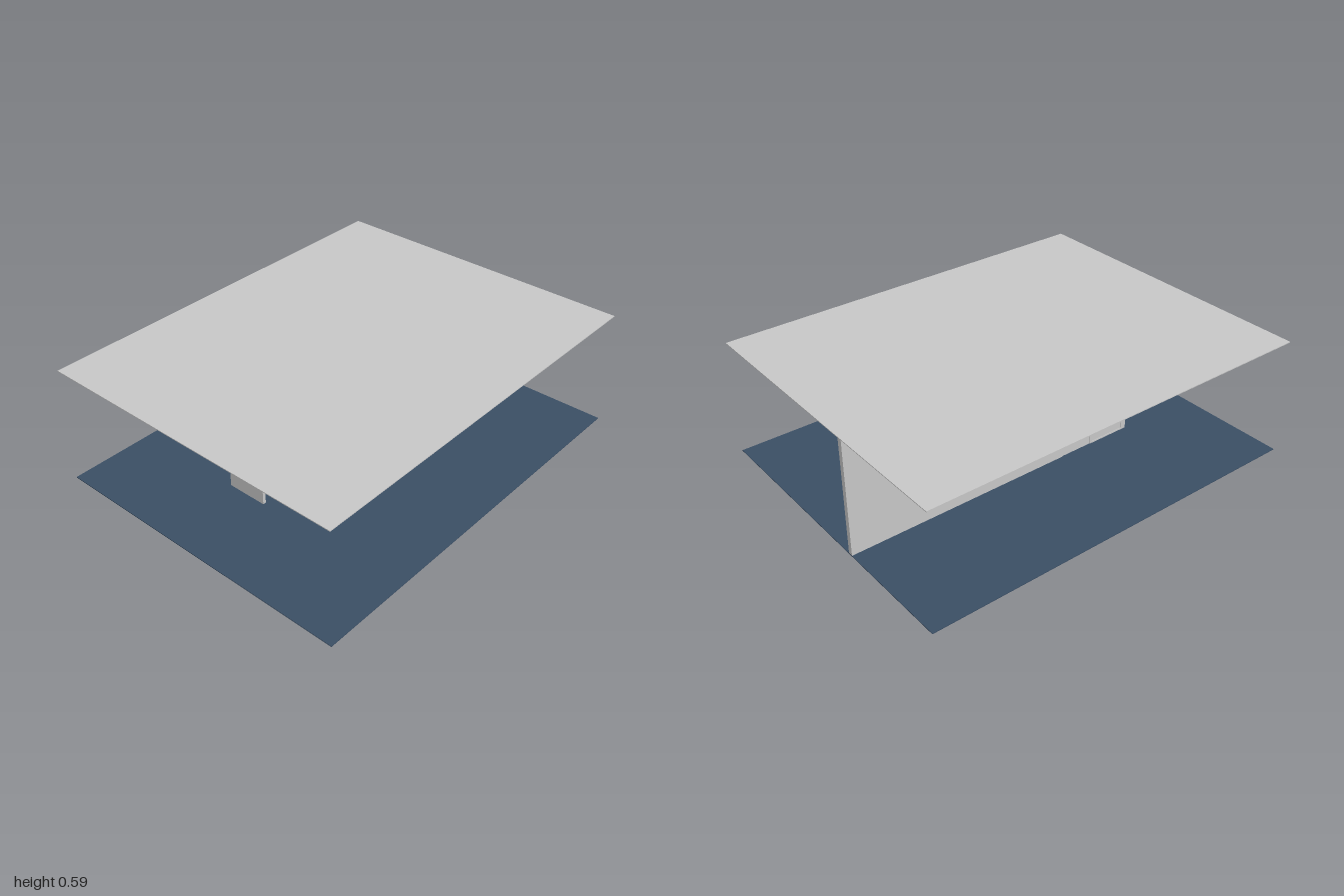
import * as THREE from 'three';

export function createModel() {
  const model = new THREE.Group();
  const mat = (name, color) => {
    const m = new THREE.MeshStandardMaterial({ color });
    m.name = name;
    return m;
  };
  const wall = mat('wallGrey', 0xc6c6c6);
  const blue = mat('slateBlue', 0x3a4e64);
  const black = mat('charcoal', 0x28292b);
  const pale = mat('paleGrey', 0xdcdcdc);
  const steel = mat('steelGrey', 0x8f9092);

  // Box given by its low and high bounds on each axis
  const box = (parent, name, m, x0, x1, y0, y1, z0, z1) => {
    const mesh = new THREE.Mesh(new THREE.BoxGeometry(x1 - x0, y1 - y0, z1 - z0), m);
    mesh.position.set((x0 + x1) / 2, (y0 + y1) / 2, (z0 + z1) / 2);
    mesh.name = name;
    parent.add(mesh);
    return mesh;
  };
  // Round bar between two points
  const bar = (parent, name, m, a, b, r) => {
    const p = new THREE.Vector3(...a), q = new THREE.Vector3(...b);
    const d = q.clone().sub(p);
    const mesh = new THREE.Mesh(new THREE.CylinderGeometry(r, r, d.length(), 12), m);
    mesh.position.copy(p).add(q).multiplyScalar(0.5);
    mesh.quaternion.setFromUnitVectors(new THREE.Vector3(0, 1, 0), d.normalize());
    mesh.name = name;
    parent.add(mesh);
  };
  const group = (name) => {
    const g = new THREE.Group();
    g.name = name;
    model.add(g);
    return g;
  };

  // Room shell
  box(model, 'floor', blue, -1, 1, 0, 0.004, -0.79, 0.79);
  box(model, 'ceiling', wall, -1, 1, 0.586, 0.59, -0.79, 0.79);
  box(model, 'ceilingLamp', pale, -0.15, 0.15, 0.582, 0.586, 0.08, 0.33);
  box(model, 'backWall', wall, -0.155, 1, 0.004, 0.586, -0.207, -0.183);
  box(model, 'sideWall', wall, -0.572, -0.556, 0.004, 0.586, -0.207, 0);

  // Window partition: two bays with glazing and posts
  const partition = group('windowPartition');
  for (const [x0, x1] of [[-0.556, -0.345], [-0.345, -0.155]]) {
    box(partition, 'lowerPanel', wall, x0, x1, 0.004, 0.18, -0.204, -0.194);
    box(partition, 'glass', blue, x0, x1, 0.18, 0.432, -0.203, -0.195);
    box(partition, 'upperPanel', wall, x0, x1, 0.432, 0.586, -0.204, -0.194);
  }
  for (const x of [-0.551, -0.345, -0.16])
    box(partition, 'post', wall, x - 0.005, x + 0.005, 0.004, 0.586, -0.207, -0.186);
  box(partition, 'bottomRail', wall, -0.556, -0.345, 0.004, 0.012, -0.207, -0.186);

  // Desks with T-shaped legs
  const desk = (name, x0, x1, legs, top) => {
    const g = group(name);
    box(g, 'deskTop', pale, x0, x1, top - 0.008, top, -0.17, -0.01);
    box(g, 'crossBeam', black, legs[0], legs[1], top - 0.022, top - 0.012, -0.104, -0.088);
    for (const x of legs) {
      box(g, 'deskLeg', black, x - 0.008, x + 0.008, 0.008, top - 0.008, -0.104, -0.088);
      box(g, 'deskFoot', black, x - 0.009, x + 0.009, 0.004, 0.012, -0.168, -0.02);
      box(g, 'topBracket', blue, x - 0.009, x + 0.009, top - 0.018, top - 0.008, -0.163, -0.025);
    }
  };
  desk('workDesk', -0.165, 0.165, [-0.145, 0.125], 0.158);
  desk('computerDesk', 0.165, 0.49, [0.2, 0.465], 0.154);

  // Two screens on stands
  const screen = (name, x0, x1, z) => {
    const g = group(name);
    const xc = (x0 + x1) / 2;
    box(g, 'screenPanel', black, x0, x1, 0.175, 0.264, z - 0.003, z + 0.003);
    box(g, 'screenNeck', black, xc - 0.006, xc + 0.006, 0.154, 0.2, z - 0.007, z - 0.003);
    box(g, 'screenFoot', black, xc - 0.025, xc + 0.025, 0.154, 0.158, z - 0.015, z + 0.02);
  };
  screen('leftScreen', 0.157, 0.36, -0.145);
  screen('rightScreen', 0.345, 0.484, -0.169);
  box(model, 'keyboard', steel, 0.2, 0.27, 0.154, 0.162, -0.07, -0.035);

  // Overhead camera stand
  const stand = group('cameraStand');
  box(stand, 'standBase', steel, -0.035, 0.025, 0.158, 0.163, -0.055, -0.005);
  bar(stand, 'standPole', steel, [-0.006, 0.158, -0.024], [-0.006, 0.362, -0.024], 0.004);
  bar(stand, 'standArm', steel, [-0.006, 0.361, -0.024], [-0.006, 0.361, -0.046], 0.004);
  box(stand, 'cameraHead', black, -0.012, 0.023, 0.342, 0.356, -0.052, -0.042);

  // Pair of desktop robot arms
  for (const x of [-0.07, 0.058]) {
    const g = group('robotArm');
    box(g, 'armBase', black, x - 0.032, x + 0.032, 0.158, 0.165, -0.075, -0.02);
    box(g, 'armTurret', black, x - 0.012, x + 0.012, 0.165, 0.182, -0.058, -0.034);
    bar(g, 'upperArm', black, [x, 0.178, -0.046], [x, 0.21, -0.035], 0.007);
    bar(g, 'forearm', black, [x, 0.199, -0.09], [x, 0.199, 0.012], 0.006);
    for (const s of [-1, 1]) {
      box(g, 'gripperFinger', black, x + s * 0.01 - 0.003, x + s * 0.01 + 0.003, 0.19, 0.208, 0.008, 0.03);
      bar(g, 'shoulderLink', black, [x, 0.2, -0.035], [x + s * 0.015, 0.216, -0.035], 0.004);
    }
  }

  // Clamped uprights at the ends of the work desk
  for (const x of [-0.172, 0.168]) {
    const g = group('deskClamp');
    box(g, 'clampBody', black, x - 0.006, x + 0.006, 0.14, 0.168, -0.025, -0.004);
    box(g, 'clampUpright', black, x - 0.003, x + 0.003, 0.165, 0.206, -0.02, -0.01);
  }
  return model;
}
